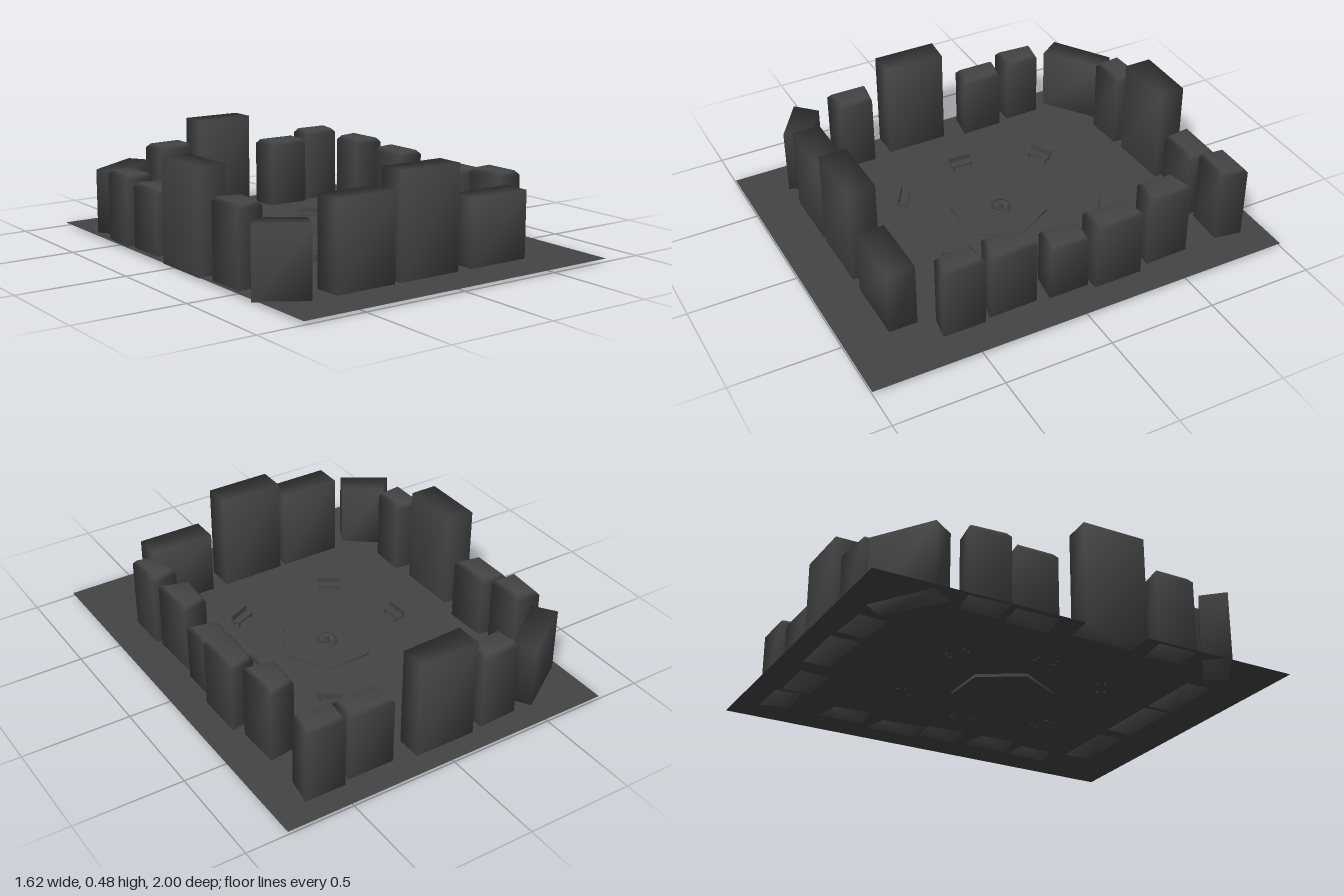
import * as THREE from 'three';

const material = new THREE.MeshStandardMaterial({ color: 0x444444, side: THREE.DoubleSide });
const GROUND = 0.015;

function add(parent, name, geometry, x = 0, y = 0, z = 0) {
  const mesh = new THREE.Mesh(geometry, material);
  mesh.name = name;
  mesh.position.set(x, y, z);
  parent.add(mesh);
  return mesh;
}

// Block lofted from a four-cornered footprint; bevel narrows the roof edge.
// Corners are shared, so the normals blend softly over the edges.
function blockGeometry(corners, height, bevel) {
  const cx = corners.reduce((s, c) => s + c[0], 0) / 4;
  const cz = corners.reduce((s, c) => s + c[1], 0) / 4;
  const rings = [[0.012, 0], [height - bevel, 0]];
  if (bevel) rings.push([height, bevel * 0.8]);
  const pos = [], index = [];
  for (const [y, inset] of rings) {
    for (const [x, z] of corners) {
      pos.push(x - Math.sign(x - cx) * inset, y, z - Math.sign(z - cz) * inset);
    }
  }
  for (let r = 0; r < rings.length - 1; r++) {
    for (let i = 0; i < 4; i++) {
      const a = r * 4 + i, b = r * 4 + (i + 1) % 4;
      index.push(a, a + 4, b, b, a + 4, b + 4);
    }
  }
  const t = (rings.length - 1) * 4;
  index.push(0, 1, 2, 0, 2, 3, t, t + 2, t + 1, t, t + 3, t + 2);
  const g = new THREE.BufferGeometry();
  g.setAttribute('position', new THREE.Float32BufferAttribute(pos, 3));
  g.setIndex(index);
  g.computeVertexNormals();
  return g;
}

// Footprints run clockwise as seen from above: height, bevel, corners.
const backRow = [
  [0.315, 0, [[-0.76, -0.72], [-0.5, -0.89], [-0.44, -0.8], [-0.69, -0.62]]],
  [0.38, 0.02, [[-0.41, -0.88], [-0.22, -0.89], [-0.22, -0.76], [-0.4, -0.75]]],
  [0.48, 0, [[-0.17, -0.9], [0.12, -0.9], [0.12, -0.78], [-0.17, -0.77]]],
  [0.34, 0.02, [[0.22, -0.87], [0.44, -0.87], [0.435, -0.74], [0.23, -0.74]]],
  [0.37, 0.02, [[0.47, -0.89], [0.66, -0.89], [0.64, -0.76], [0.46, -0.77]]],
];
const leftRow = [
  [0.37, 0.02, [[0.52, -0.58], [0.645, -0.6], [0.65, -0.39], [0.51, -0.41]]],
  [0.345, 0.02, [[0.56, -0.32], [0.68, -0.34], [0.68, -0.11], [0.55, -0.11]]],
  [0.285, 0.02, [[0.52, -0.1], [0.65, -0.09], [0.65, 0.1], [0.51, 0.08]]],
  [0.34, 0.02, [[0.51, 0.18], [0.635, 0.155], [0.64, 0.385], [0.5, 0.35]]],
  [0.36, 0.02, [[0.53, 0.42], [0.655, 0.41], [0.655, 0.61], [0.545, 0.59]]],
];
const rightRow = [
  [0.34, 0.02, [[-0.77, -0.58], [-0.655, -0.56], [-0.65, -0.39], [-0.78, -0.39]]],
  [0.315, 0.02, [[-0.76, -0.36], [-0.635, -0.34], [-0.63, -0.14], [-0.76, -0.16]]],
  [0.48, 0, [[-0.79, -0.05], [-0.66, -0.04], [-0.66, 0.25], [-0.79, 0.25]]],
  [0.37, 0.02, [[-0.77, 0.32], [-0.64, 0.34], [-0.645, 0.505], [-0.77, 0.515]]],
];
const frontRow = [
  [0.325, 0, [[-0.72, 0.58], [-0.56, 0.7], [-0.61, 0.8], [-0.81, 0.67]]],
  ...[[-0.49, -0.195, 0.405], [-0.165, 0.142, 0.48], [0.215, 0.522, 0.32]].map(
    ([a, b, h]) => [h, 0, [[a, 0.665], [b, 0.665], [b, 0.795], [a, 0.795]]]),
];

// Bench with its seat facing local +z
function bench() {
  const g = new THREE.Group();
  g.name = 'bench';
  add(g, 'benchSeat', new THREE.BoxGeometry(0.11, 0.008, 0.045), 0, 0.037, 0);
  add(g, 'benchBack', new THREE.BoxGeometry(0.11, 0.026, 0.009), 0, 0.053, -0.02);
  for (const x of [-0.045, 0.045]) {
    for (const z of [-0.016, 0.016]) {
      add(g, 'benchLeg', new THREE.BoxGeometry(0.008, 0.024, 0.008), x, 0.023, z);
    }
  }
  return g;
}

export function createModel() {
  const model = new THREE.Group();
  model.name = 'townSquare';

  // Thin paved ground sheet
  add(model, 'ground', new THREE.PlaneGeometry(1.6, 2).rotateX(-Math.PI / 2), 0.01, GROUND, 0);

  // Houses around the square
  const rows = { backHouses: backRow, leftHouses: leftRow, rightHouses: rightRow, frontHouses: frontRow };
  for (const [name, row] of Object.entries(rows)) {
    const group = new THREE.Group();
    group.name = name;
    for (const [h, bevel, corners] of row) add(group, 'house', blockGeometry(corners, h, bevel));
    model.add(group);
  }

  // Six-sided plaza sunk through the ground
  add(model, 'plaza', new THREE.CylinderGeometry(0.225, 0.228, 0.021, 6).rotateY(Math.PI / 6),
    -0.008, 0.0105, 0);

  // Small fountain in the middle
  const basin = [[0, 0.024], [0.034, 0.024], [0.036, 0.036], [0.046, 0.036], [0.05, 0.02]];
  const fountain = new THREE.Group();
  fountain.name = 'fountain';
  fountain.position.set(-0.005, 0, -0.01);
  add(fountain, 'basin', new THREE.LatheGeometry(basin.map(p => new THREE.Vector2(...p)), 20));
  add(fountain, 'spout', new THREE.CylinderGeometry(0.009, 0.014, 0.03, 12), 0, 0.036, 0);
  model.add(fountain);

  // Benches facing the fountain: x, z, turn
  const benches = [
    [-0.275, -0.365, 0.5], [0.215, -0.38, -0.65], [-0.39, 0, Math.PI / 2],
    [0.348, -0.015, -Math.PI / 2], [-0.26, 0.365, 2.58], [0.235, 0.35, -2.73],
  ];
  for (const [x, z, turn] of benches) {
    const b = bench();
    b.position.set(x, 0, z);
    b.rotation.y = turn;
    model.add(b);
  }
  return model;
}
